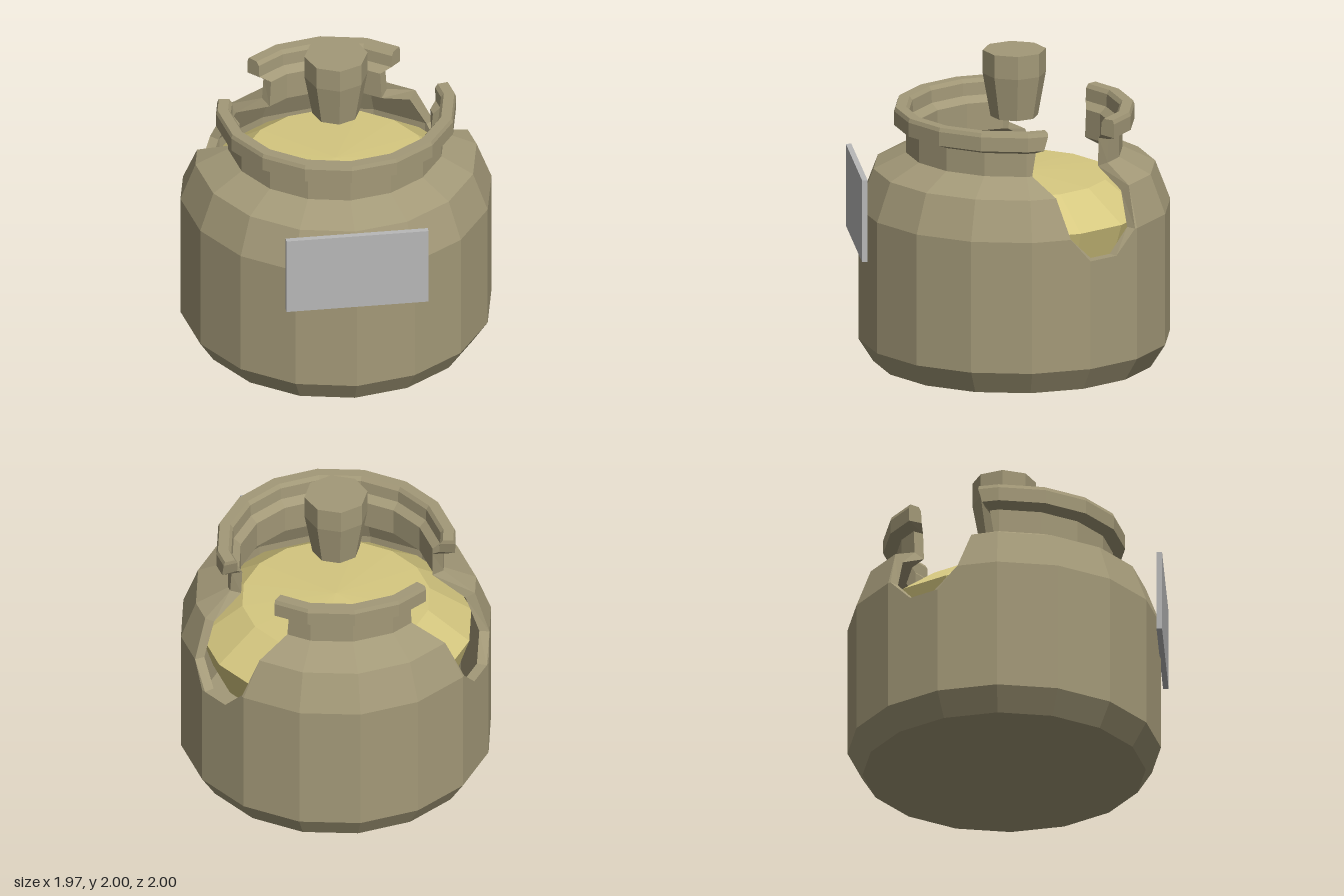
import * as THREE from 'three';

const SIDES = 16;
const STEP = 360 / SIDES;

// Flat normals so every facet reads as low-poly
function facet(geometry) {
  const g = geometry.index ? geometry.toNonIndexed() : geometry;
  g.computeVertexNormals();
  return g;
}

function turned(points, sides) {
  return facet(new THREE.LatheGeometry(points.map(([r, y]) => new THREE.Vector2(r, y)), sides));
}

// Point on a 16-sided ring at an angle in degrees from +z
function ringPoint(r, y, deg) {
  const rad = THREE.MathUtils.degToRad;
  const off = deg - (Math.floor(deg / STEP) + 0.5) * STEP;
  const d = r * Math.cos(rad(STEP / 2)) / Math.cos(rad(off));
  return [d * Math.sin(rad(deg)), y, d * Math.cos(rad(deg))];
}

// Upper wall: outer r, y; inner r, y; front and back angle of the broken gap
const ROWS = [
  [0.985, 0.85, 0.92, 0.85, 114, 125],
  [0.985, 1.0, 0.92, 1.0, 105, 134],
  [0.89, 1.25, 0.83, 1.21, 101, 138],
  [0.685, 1.35, 0.614, 1.32, 93, 144],
  [0.685, 1.5, 0.614, 1.5, 95, 145],
  [0.76, 1.53, 0.66, 1.54, 98, 140],
  [0.76, 1.62, 0.665, 1.62, 100, 140],
  [0.75, 1.645, 0.683, 1.645, 100, 140],
];

// One piece of the broken wall, from start(row) to end(row) degrees
function wallPiece(start, end) {
  const pos = [];
  const quad = (a, b, c, d) => pos.push(...a, ...b, ...d, ...b, ...c, ...d);
  const outer = ROWS.map((w) => ({ r: w[0], y: w[1], lo: start(w), hi: end(w) }));
  const inner = ROWS.map((w) => ({ r: w[2], y: w[3], lo: start(w), hi: end(w) }));
  const at = (p, deg) => ringPoint(p.r, p.y, THREE.MathUtils.clamp(deg, p.lo, p.hi));

  // skin: up the outside, over the rim, down the inside
  const loop = [...outer, ...inner.slice().reverse()];
  const first = Math.floor(Math.min(...loop.map((p) => p.lo)) / STEP);
  const last = Math.ceil(Math.max(...loop.map((p) => p.hi)) / STEP);
  for (let i = 0; i < loop.length - 1; i++) {
    for (let k = first; k < last; k++) {
      const a = k * STEP, b = a + STEP;
      quad(at(loop[i], a), at(loop[i], b), at(loop[i + 1], b), at(loop[i + 1], a));
    }
  }
  // broken edges
  for (let i = 0; i < ROWS.length - 1; i++) {
    const [o, p, n, m] = [outer[i], outer[i + 1], inner[i], inner[i + 1]];
    quad(at(n, n.lo), at(o, o.lo), at(p, p.lo), at(m, m.lo));
    quad(at(o, o.hi), at(n, n.hi), at(m, m.hi), at(p, p.hi));
  }
  const g = new THREE.BufferGeometry();
  g.setAttribute('position', new THREE.Float32BufferAttribute(pos, 3));
  return facet(g);
}

export function createModel() {
  const clay = new THREE.MeshStandardMaterial({ color: 0xa39978 });
  clay.name = 'clay';
  const filling = new THREE.MeshStandardMaterial({ color: 0xd6c880 });
  filling.name = 'yellow filling';
  const grey = new THREE.MeshStandardMaterial({ color: 0xb8b8b8 });
  grey.name = 'label grey';

  const model = new THREE.Group();
  model.name = 'brokenJar';
  const add = (name, geometry, material, z = -0.015) => {
    const mesh = new THREE.Mesh(geometry, material);
    mesh.name = name;
    mesh.position.z = z;
    model.add(mesh);
    return mesh;
  };

  // Whole lower body, hollow inside
  add('lowerBody', turned([
    [0, 0], [0.89, 0], [0.985, 0.15], [0.985, 0.85],
    [0.92, 0.85], [0.92, 0.2], [0, 0.2],
  ], SIDES), clay);

  // Shoulder, neck and rim, broken open on both sides towards the back
  add('frontWall', wallPiece((w) => -w[4], (w) => w[4]), clay);
  add('backWall', wallPiece((w) => w[5], (w) => 360 - w[5]), clay);

  // Contents showing through the gaps
  add('contents', turned([
    [0, 0.7], [0.78, 0.75], [0.86, 1.0], [0.595, 1.195], [0, 1.225],
  ], SIDES), filling);

  // Tapered stopper above the mouth
  add('stopper', turned([
    [0, 1.57], [0.15, 1.57], [0.2, 1.85], [0.2, 2], [0, 2],
  ], 8), clay);

  // Blank label on the front
  add('label', new THREE.BoxGeometry(0.9, 0.53, 0.035), grey, 0.98).position.y = 1.03;

  return model;
}
